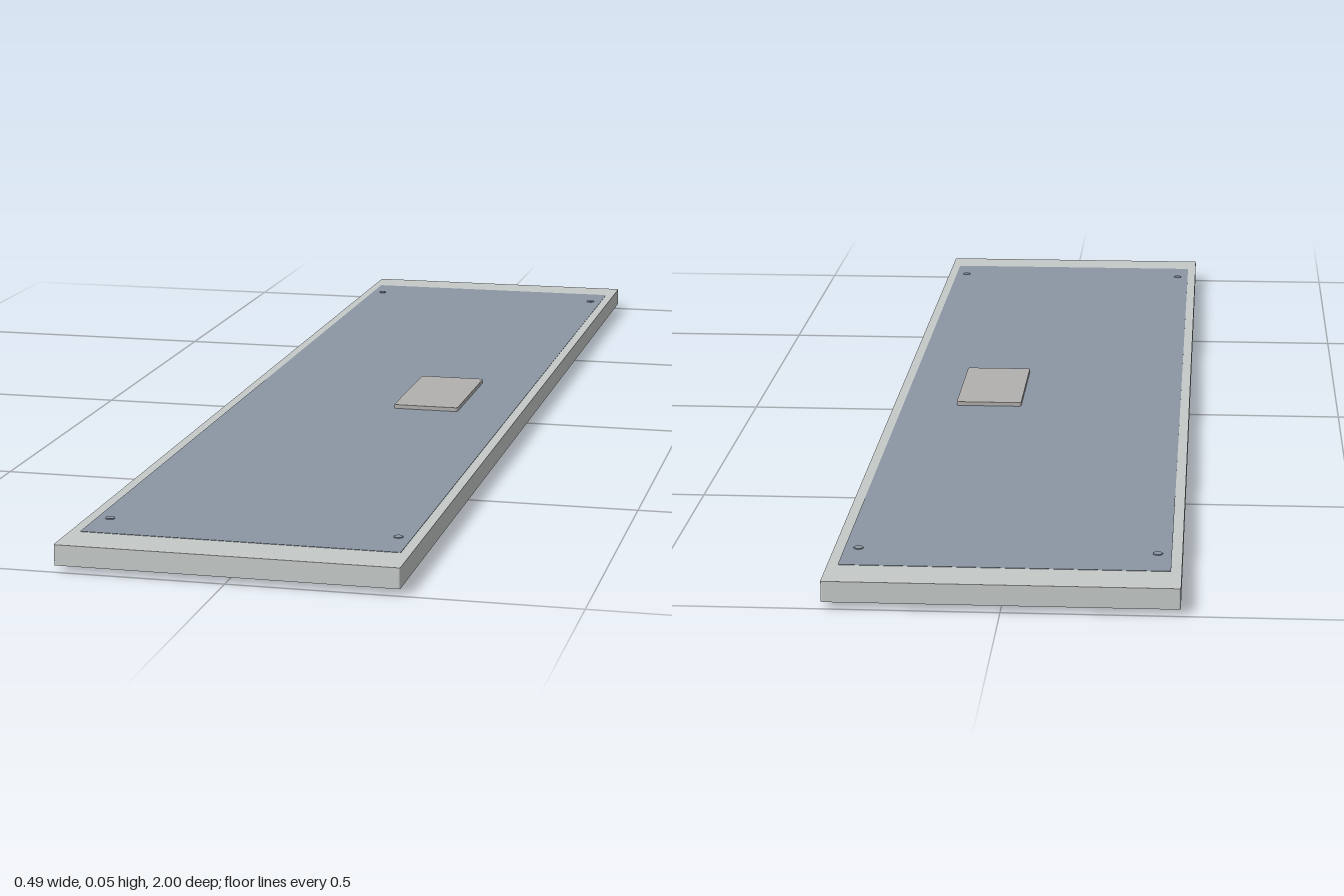
import * as THREE from 'three';

// Horizontal plate with rounded corners, spanning y0..y1
function plate(name, w, d, y0, y1, r, color, x = 0) {
  const a = w / 2, b = d / 2, s = new THREE.Shape();
  s.moveTo(-a + r, -b);
  s.lineTo(a - r, -b);
  s.absarc(a - r, -b + r, r, -Math.PI / 2, 0);
  s.absarc(a - r, b - r, r, 0, Math.PI / 2);
  s.absarc(-a + r, b - r, r, Math.PI / 2, Math.PI);
  s.absarc(-a + r, -b + r, r, Math.PI, Math.PI * 1.5);
  const geo = new THREE.ExtrudeGeometry(s, { depth: y1 - y0, bevelEnabled: false, curveSegments: 5 });
  geo.rotateX(-Math.PI / 2);
  const mesh = new THREE.Mesh(geo, new THREE.MeshStandardMaterial({ color }));
  mesh.name = name;
  mesh.position.set(x, y0, 0);
  return mesh;
}

export function createModel() {
  const model = new THREE.Group();
  model.name = 'flatPanel';

  // Main slab, thin sheet on top, separate sheet floating just below
  model.add(plate('body', 0.494, 2, 0.01, 0.04, 0.003, 0xc5cac8));
  model.add(plate('topSheet', 0.464, 1.86, 0.0395, 0.0406, 0.003, 0x8a96a3));
  model.add(plate('bottomSheet', 0.464, 1.88, 0, 0.0015, 0.004, 0xcccccc));

  // Raised pad, offset to the model's left
  model.add(plate('pad', 0.108, 0.22, 0.04, 0.047, 0.004, 0xb2b0ae, 0.088));

  // Small studs near the four corners
  const studGeo = new THREE.CylinderGeometry(0.007, 0.007, 0.002, 16);
  const studMat = new THREE.MeshStandardMaterial({ color: 0x8a96a3 });
  for (const sx of [-1, 1]) {
    for (const sz of [-1, 1]) {
      const stud = new THREE.Mesh(studGeo, studMat);
      stud.name = 'cornerStud';
      stud.position.set(sx * 0.212, 0.041, sz * 0.857);
      model.add(stud);
    }
  }
  return model;
}
